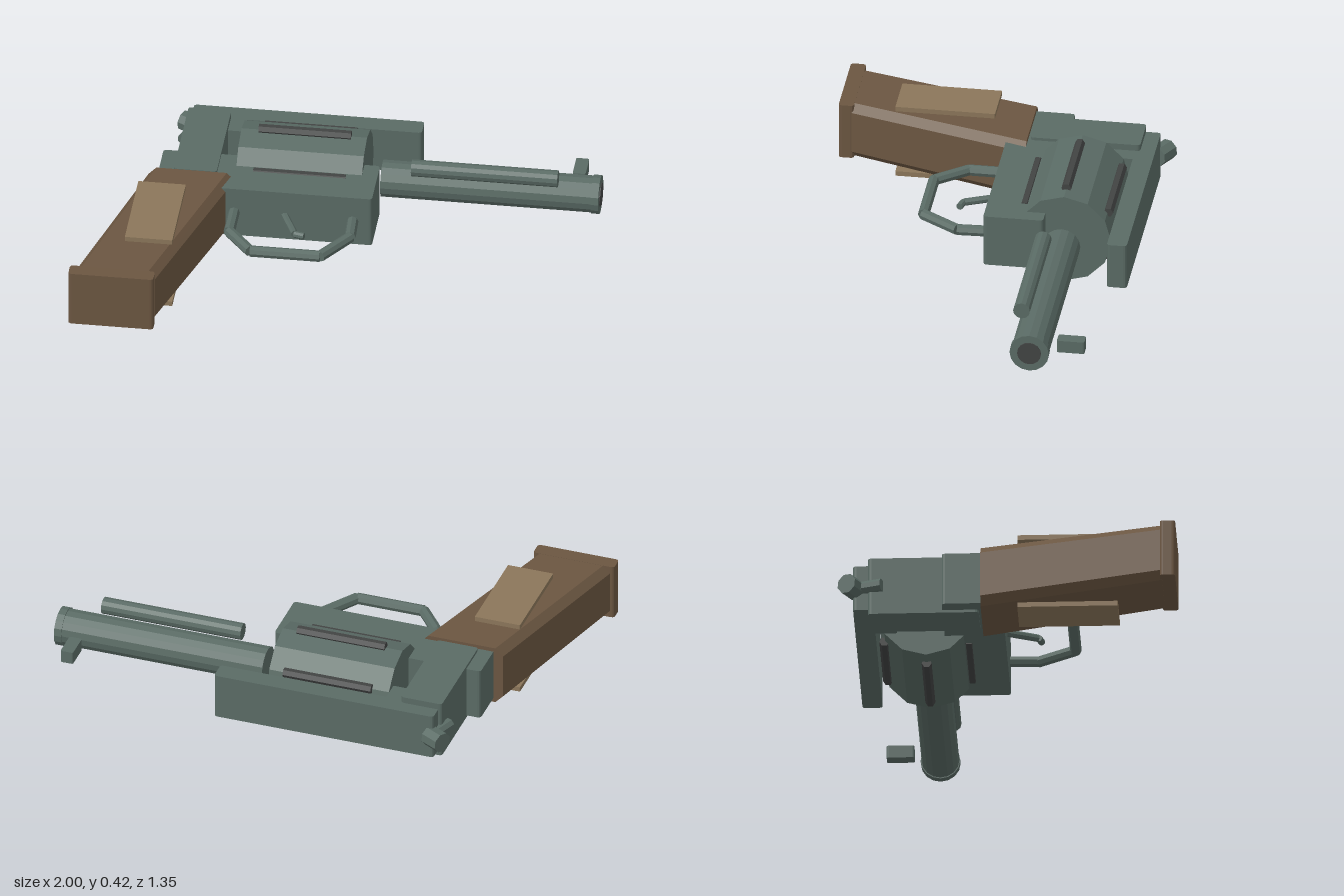
import * as THREE from 'three';

const mat = (name, color) => {
  const m = new THREE.MeshStandardMaterial({ color });
  m.name = name;
  return m;
};

export function createModel() {
  const group = new THREE.Group();
  const metal = mat('gunmetal', 0x5a6b65);
  const dark = mat('darkMetal', 0x424443);
  const wood = mat('wood', 0x6b5641);
  const panel = mat('lightWood', 0x8b765a);
  const MID = 0.215; // height of the symmetry plane
  const AXIS = -0.34; // z of barrel and drum axis

  const add = (name, geo, material) => {
    const mesh = new THREE.Mesh(geo, material);
    mesh.name = name;
    group.add(mesh);
    return mesh;
  };

  // Plate seen from above as a rectangle with small rounded corners
  const plate = (name, x0, x1, z0, z1, y0, y1, material, r = 0.014) => {
    const s = new THREE.Shape();
    s.moveTo(x0 + r, -z1).lineTo(x1 - r, -z1).quadraticCurveTo(x1, -z1, x1, -z1 + r);
    s.lineTo(x1, -z0 - r).quadraticCurveTo(x1, -z0, x1 - r, -z0);
    s.lineTo(x0 + r, -z0).quadraticCurveTo(x0, -z0, x0, -z0 - r);
    s.lineTo(x0, -z1 + r).quadraticCurveTo(x0, -z1, x0 + r, -z1);
    const g = new THREE.ExtrudeGeometry(s, { depth: y1 - y0, bevelEnabled: false, curveSegments: 3 });
    g.rotateX(-Math.PI / 2).translate(0, y0, 0);
    return add(name, g, material);
  };

  // Faceted rod between two points
  const up = new THREE.Vector3(0, 1, 0);
  const rod = (name, a, b, r, sides, material) => {
    const p = new THREE.Vector3(...a), q = new THREE.Vector3(...b);
    const d = q.clone().sub(p);
    const g = new THREE.CylinderGeometry(r, r, d.length(), sides).toNonIndexed();
    g.computeVertexNormals();
    const mesh = add(name, g, material);
    mesh.quaternion.setFromUnitVectors(up, d.normalize());
    mesh.position.copy(p).add(q).multiplyScalar(0.5);
    return mesh;
  };

  // Frame
  plate('lowerFrame', -0.745, 0.122, -0.265, -0.025, 0.106, 0.325, metal);
  plate('rearFrame', -0.685, -0.513, -0.56, -0.12, 0.095, 0.337, metal);
  plate('topStrap', -0.67, 0.252, -0.62, -0.54, 0.12, 0.311, metal);
  plate('recoilShield', -0.6, -0.445, -0.555, -0.455, 0.12, 0.311, metal, 0.005);

  // Drum with six dark ribs
  rod('drum', [-0.443, MID, AXIS], [0.06, MID, AXIS], 0.19, 12, metal);
  for (let i = 0; i < 6; i++) {
    const a = (i * Math.PI) / 3;
    const y = MID + 0.194 * Math.cos(a), z = AXIS + 0.194 * Math.sin(a);
    rod('drumRib', [-0.373, y, z], [-0.003, y, z], 0.02, 6, dark);
  }

  // Barrel, muzzle, bore, ejector rod and sight
  rod('barrel', [0.122, MID + 0.003, AXIS], [0.97, MID + 0.003, AXIS], 0.075, 16, metal);
  rod('muzzle', [0.965, MID + 0.003, AXIS], [0.996, MID + 0.003, AXIS], 0.079, 16, metal);
  rod('bore', [0.94, MID + 0.003, AXIS], [1, MID + 0.003, AXIS], 0.048, 16, dark);
  rod('ejectorRod', [0.247, 0.315, -0.285], [0.833, 0.315, -0.285], 0.034, 12, metal);
  plate('frontSight', 0.87, 0.922, -0.55, -0.44, 0.19, 0.242, metal, 0.008);

  // Hammer
  rod('hammerArm', [-0.698, MID, -0.505], [-0.655, MID, -0.625], 0.026, 8, metal);
  rod('hammerSpur', [-0.717, MID, -0.645], [-0.648, MID, -0.607], 0.042, 8, metal);

  // Trigger guard
  const guard = [[-0.43, -0.03], [-0.43, 0.115], [-0.33, 0.24], [-0.05, 0.24], [0.05, 0.09], [0.045, -0.03]];
  for (let i = 0; i < guard.length - 1; i++) {
    const [a, b] = [guard[i], guard[i + 1]];
    rod('triggerGuard', [a[0], MID, a[1]], [b[0], MID, b[1]], 0.023, 8, metal);
  }

  // Trigger
  rod('trigger', [-0.228, MID, -0.03], [-0.172, MID, 0.095], 0.015, 8, metal);
  rod('triggerTip', [-0.172, MID, 0.098], [-0.132, MID, 0.108], 0.014, 8, metal);

  // Grip: chamfered block, slanted back and slightly tapered
  const c = 0.13;
  const oct = new THREE.Shape([
    [-0.5 + c * 0.7, -0.5], [0.5 - c * 0.7, -0.5], [0.5, -0.5 + c], [0.5, 0.5 - c],
    [0.5 - c * 0.7, 0.5], [-0.5 + c * 0.7, 0.5], [-0.5, 0.5 - c], [-0.5, -0.5 + c],
  ].map(([x, y]) => new THREE.Vector2(x, y)));
  const gripGeo = new THREE.ExtrudeGeometry(oct, { depth: 1, bevelEnabled: false });
  const pos = gripGeo.attributes.position;
  for (let i = 0; i < pos.count; i++) {
    const t = pos.getZ(i);
    const mix = (a, b) => a + (b - a) * t;
    pos.setXYZ(i,
      mix(-0.612, -0.822) + pos.getX(i) * mix(0.345, 0.325),
      MID + pos.getY(i) * mix(0.254, 0.238),
      mix(-0.11, 0.62));
  }
  gripGeo.computeVertexNormals();
  add('grip', gripGeo, wood);
  plate('gripCap', -1, -0.66, 0.612, 0.673, 0.098, 0.335, wood);

  // Side panels of the grip
  for (const y of [0.058, 0.352]) {
    plate('gripPanel', -0.805, -0.615, 0.038, 0.438, y, y + 0.02, panel, 0.003);
  }
  return group;
}
